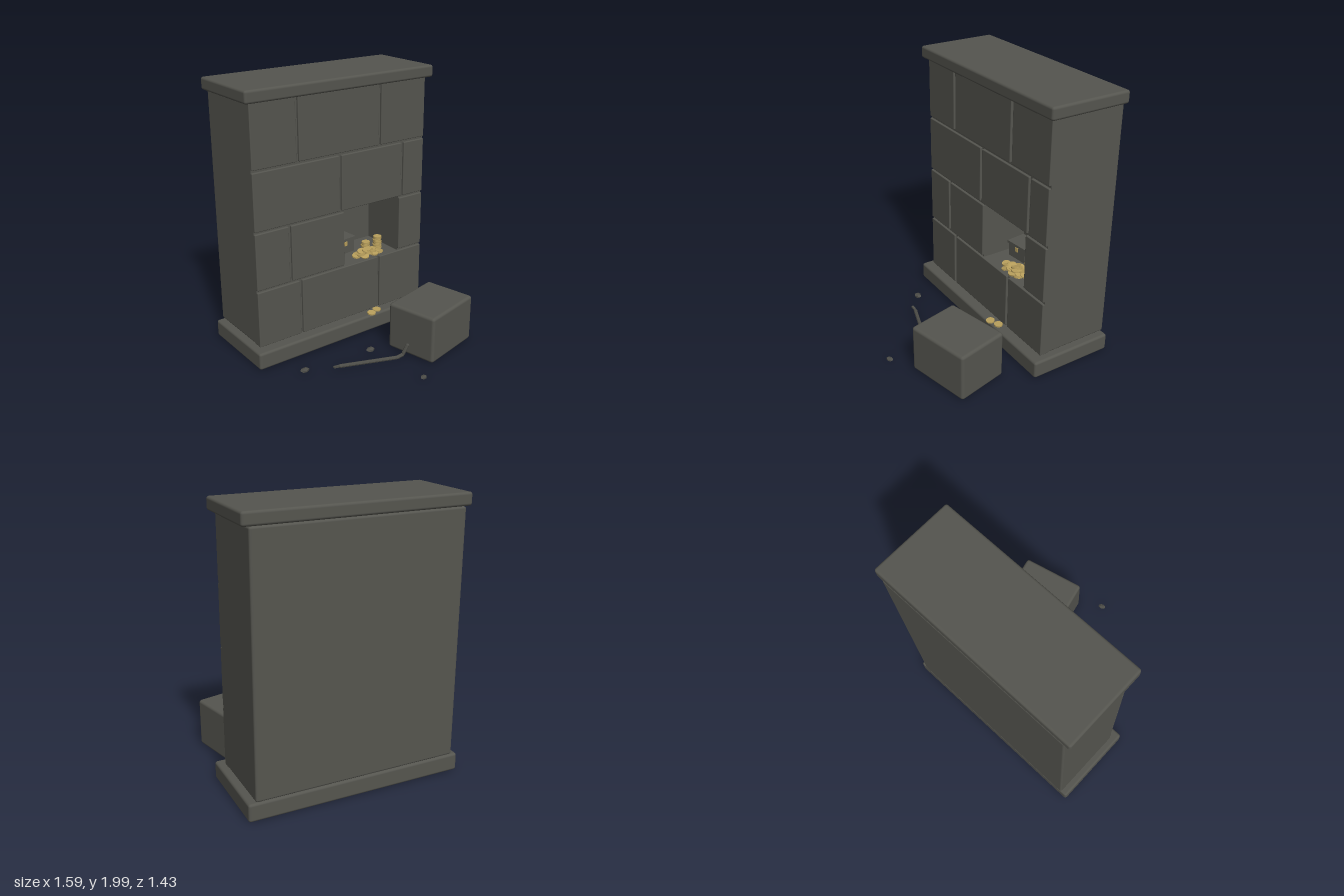
import * as THREE from 'three';
import { RoundedBoxGeometry } from 'three/addons/geometries/RoundedBoxGeometry.js';

export function createModel() {
  const model = new THREE.Group();
  const material = (name, color, flat = false) => {
    const m = new THREE.MeshStandardMaterial({ color, flatShading: flat });
    m.name = name;
    return m;
  };
  const stone = material('stone', 0x55554f);
  const iron = material('iron', 0x4c4c47, true);
  const gold = material('gold', 0xb89f5c);

  const add = (name, geometry, mat, x, y, z, parent = model) => {
    const mesh = new THREE.Mesh(geometry, mat);
    mesh.name = name;
    mesh.position.set(x, y, z);
    parent.add(mesh);
    return mesh;
  };
  // rounded stone given by its limits on each axis
  const slab = (name, [x0, x1], [y0, y1], [z0, z1], r) =>
    add(name, new RoundedBoxGeometry(x1 - x0, y1 - y0, z1 - z0, 2, r), stone,
      (x0 + x1) / 2, (y0 + y1) / 2, (z0 + z1) / 2);

  // plinth and cap
  slab('plinth', [-0.795, 0.795], [0.01, 0.14], [-0.72, -0.07], 0.018);
  slab('cap', [-0.79, 0.79], [1.91, 2], [-0.72, -0.11], 0.018);

  // wall core: solid back, front part pierced by the niche
  const W = 0.745, B = 0.145, T = 1.91, r = 0.015;
  slab('wallBack', [-W, W], [B, T], [-0.72, -0.53], r);
  const outline = new THREE.Shape();
  outline.absarc(W - r, T - r, r, 0, Math.PI / 2);
  outline.absarc(-W + r, T - r, r, Math.PI / 2, Math.PI);
  outline.absarc(-W + r, B + r, r, Math.PI, Math.PI * 1.5);
  outline.absarc(W - r, B + r, r, Math.PI * 1.5, Math.PI * 2);
  const hole = new THREE.Path();
  hole.moveTo(0, 0.572).lineTo(0, 1.022).lineTo(0.52, 1.022).lineTo(0.52, 0.572).closePath();
  outline.holes.push(hole);
  add('wallCore', new THREE.ExtrudeGeometry(outline, { depth: 0.395, bevelEnabled: false, curveSegments: 4 }),
    stone, 0, 0, -0.56);

  // facing blocks, row by row, separated by narrow joints
  const rows = [
    { y: [B, 0.572], x: [[-W, -0.395], [-0.375, 0.315], [0.335, W]] },
    { y: [0.588, 1.008], x: [[-W, -0.475], [-0.455, 0], [0.52, W]] },
    { y: [1.024, 1.442], x: [[-W, -0.04], [-0.02, 0.532], [0.554, W]] },
    { y: [1.46, T], x: [[-W, -0.395], [-0.375, 0.315], [0.335, W]] },
  ];
  for (const row of rows)
    for (const x of row.x) slab('facingBlock', x, row.y, [-0.22, -0.148], 0.006);

  // block pulled out of the niche
  slab('fallenBlock', [0.185, 0.685], [0.01, 0.37], [0.14, 0.54], 0.022).rotation.y = 0.228;

  // strongbox in the niche
  const chest = new THREE.Group();
  chest.name = 'chest';
  chest.position.set(0.15, 0.572, -0.42);
  chest.rotation.y = 0.1;
  model.add(chest);
  add('chestBody', new THREE.BoxGeometry(0.175, 0.105, 0.14), stone, 0, 0.0525, 0, chest);
  add('chestLid', new THREE.BoxGeometry(0.192, 0.02, 0.157), stone, 0, 0.113, 0, chest);
  add('chestLock', new THREE.BoxGeometry(0.028, 0.032, 0.008), gold, 0, 0.08, 0.073, chest);

  // coins: two stacks, a loose heap and two on the plinth
  const coinGeometry = new THREE.CylinderGeometry(0.033, 0.033, 0.011, 14);
  const coin = (x, y, z, tiltX = 0, tiltZ = 0) =>
    add('coin', coinGeometry, gold, x, y, z).rotation.set(tiltX, 0, tiltZ);
  const stack = (x, z, count) => {
    for (let i = 0; i < count; i++)
      coin(x + 0.003 * Math.sin(i * 2.3), 0.578 + i * 0.0133, z + 0.003 * Math.cos(i * 1.7));
  };
  stack(0.42, -0.29, 8);
  stack(0.335, -0.33, 5);
  for (let i = 0; i < 18; i++) {
    const a = i * 2.4, d = Math.sqrt(i / 18);
    coin(0.29 + 0.115 * d * Math.cos(a), 0.58 + 0.03 * (1 - d), -0.245 + 0.06 * d * Math.sin(a),
      0.22 * Math.sin(i * 1.9), 0.25 * Math.cos(i * 2.7));
  }
  coin(0.21, 0.149, -0.087, 0.08);
  coin(0.28, 0.147, -0.112);

  // crowbar: straight shaft, upturned hook and flat tip
  const crowbar = new THREE.Group();
  crowbar.name = 'crowbar';
  model.add(crowbar);
  const path = new THREE.CurvePath();
  const pts = [[-0.335, 0.043, 0.255], [0.08, 0.025, 0.385], [0.12, 0.04, 0.397], [0.155, 0.11, 0.408]]
    .map((p) => new THREE.Vector3(...p));
  for (let i = 0; i < 3; i++) path.add(new THREE.LineCurve3(pts[i], pts[i + 1]));
  add('crowbarShaft', new THREE.TubeGeometry(path, 28, 0.014, 8), iron, 0, 0, 0, crowbar);
  for (const end of [pts[0], pts[3]])
    add('crowbarEnd', new THREE.SphereGeometry(0.014, 8, 6), iron, end.x, end.y, end.z, crowbar);
  add('crowbarTip', new THREE.BoxGeometry(0.064, 0.012, 0.018), iron, -0.358, 0.046, 0.252, crowbar)
    .rotation.z = -0.15;

  // stone chips on the ground
  for (const [x, z, s, turn] of [[-0.545, 0.117, 0.037, 0.2], [0, 0.172, 0.038, 1.1], [0.067, 0.69, 0.03, 2.2]]) {
    const chip = add('stoneChip', new THREE.DodecahedronGeometry(s), iron, x, 0.02, z);
    chip.scale.set(1, 0.4, 0.72);
    chip.rotation.y = turn * 0.15;
  }
  return model;
}
